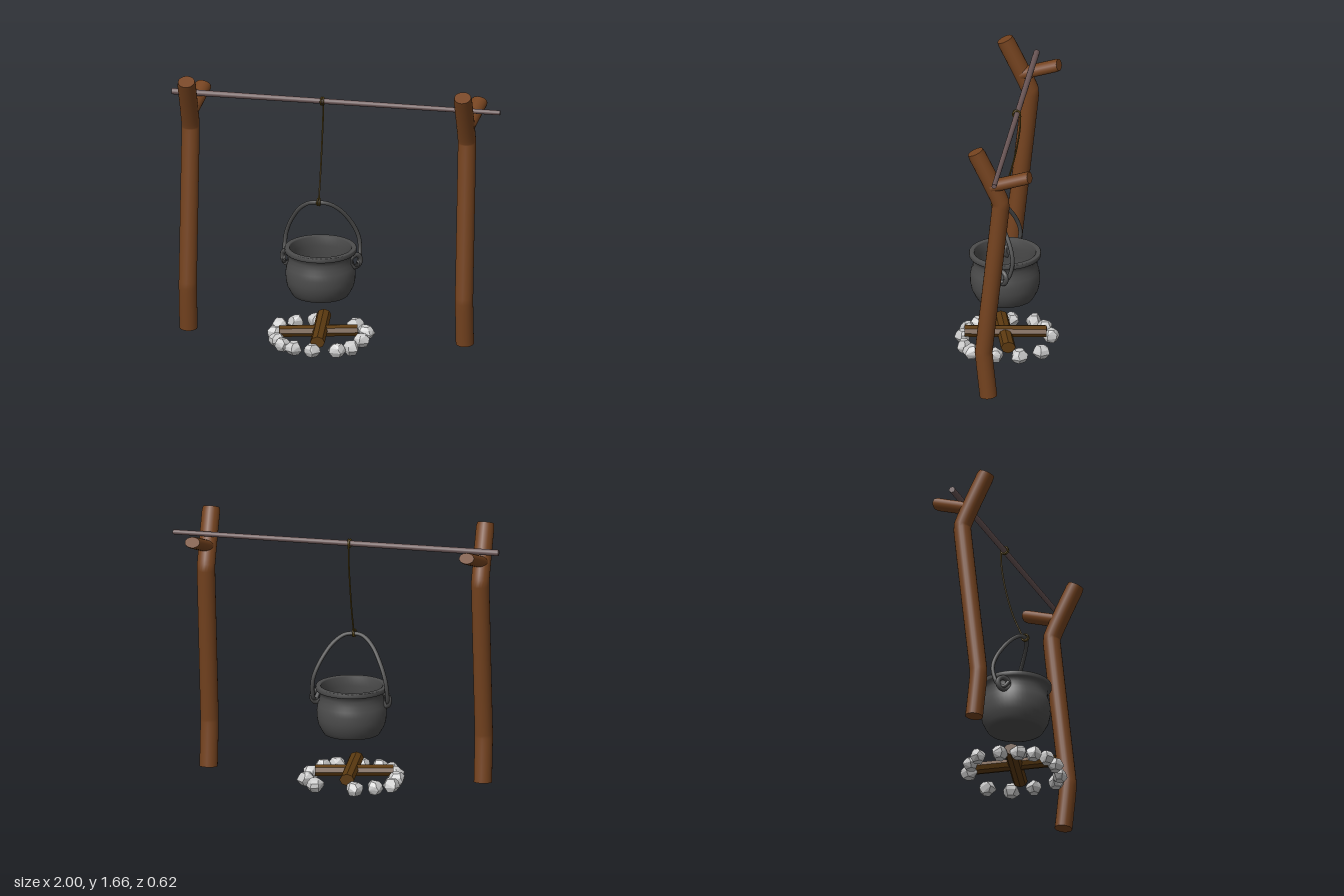
import * as THREE from 'three';
import { ConvexGeometry } from 'three/addons/geometries/ConvexGeometry.js';

const V = (x, y, z) => new THREE.Vector3(x, y, z);
const mat = (color, flatShading = false) => new THREE.MeshStandardMaterial({ color, flatShading });

const BARK = mat(0x75431f);
const BAR = mat(0x6b5757);
const IRON = mat(0x4c4c4c);
const ROPE = mat(0x5f4a15);
const LOG = mat(0x5c3a10, true);
const STONE = mat(0xcccccc, true);
const POT_X = -0.082;

function add(parent, name, geometry, material) {
  const mesh = new THREE.Mesh(geometry, material);
  mesh.name = name;
  parent.add(mesh);
  return mesh;
}

// Capped cylinder laid along a curve; rx is measured along ref, rz across it
function limb(curve, ref, rx, rz, radial = 20, rows = 44, scale = () => 1) {
  const g = new THREE.CylinderGeometry(1, 1, 1, radial, rows);
  const p = g.attributes.position, n = g.attributes.normal;
  for (let i = 0; i < p.count; i++) {
    const t = p.getY(i) + 0.5, s = scale(t);
    const T = curve.getTangentAt(t);
    const N = ref.clone().addScaledVector(T, -ref.dot(T)).normalize();
    const B = N.clone().cross(T);
    const c = curve.getPointAt(t);
    c.addScaledVector(N, p.getX(i) * rx * s).addScaledVector(B, p.getZ(i) * rz * s);
    const m = V(0, 0, 0).addScaledVector(N, n.getX(i)).addScaledVector(T, n.getY(i))
      .addScaledVector(B, n.getZ(i)).normalize();
    p.setXYZ(i, c.x, c.y, c.z);
    n.setXYZ(i, m.x, m.y, m.z);
  }
  return g;
}

const spline = (pts, tension = 0.5) => new THREE.CatmullRomCurve3(pts, false, 'catmullrom', tension);
const tube = (pts, r, seg = 48) => new THREE.TubeGeometry(spline(pts), seg, r, 10);

// Bent trunk with a short side branch forming the fork
function forkedPost(x, name) {
  const post = new THREE.Group();
  post.name = name;
  const trunk = spline([V(0, 0.05, 0.015), V(0, 0.34, 0.043), V(0, 1.31, -0.06), V(0, 1.64, 0.094)], 0.06);
  add(post, 'trunk', limb(trunk, V(1, 0, 0), 0.055, 0.053, 20, 60, t => (t > 0.99 ? 0.92 : 1)), BARK);
  const branch = new THREE.LineCurve3(V(0.005, 1.425, -0.01), V(0.047, 1.508, -0.237));
  add(post, 'branch', limb(branch, V(1, 0, 0), 0.053, 0.036, 20, 16, t => (t > 0.97 ? 0.9 : 1)), BARK);
  post.position.x = x;
  return post;
}

function cookingPot() {
  const pot = new THREE.Group();
  pot.name = 'cookingPot';
  const profile = [
    [0, 0.308], [0.155, 0.308], [0.168, 0.312], [0.182, 0.335], [0.2, 0.37], [0.208, 0.41], [0.21, 0.455],
    [0.204, 0.49], [0.194, 0.52], [0.192, 0.55], [0.196, 0.575], [0.212, 0.58], [0.216, 0.587], [0.216, 0.605],
    [0.212, 0.61], [0.19, 0.61], [0.184, 0.605], [0.178, 0.55], [0.188, 0.49], [0.192, 0.42], [0.182, 0.37],
    [0.155, 0.33], [0.13, 0.325], [0, 0.325],
  ].map(([r, y]) => new THREE.Vector2(r, y));
  add(pot, 'potBody', new THREE.LatheGeometry(profile, 48), IRON);

  // Ears on both sides
  for (const s of [-1, 1]) {
    const ear = add(pot, 'potEar', new THREE.TorusGeometry(0.038, 0.015, 10, 24), IRON);
    ear.position.set(s * 0.21, 0.53, -0.005);
    ear.rotation.y = Math.PI / 4 * s;
  }

  // Tilted bail with hooked ends through the ears
  const half = [
    [0.213, 0.535, 0.03], [0.222, 0.505, 0.0], [0.228, 0.53, -0.04], [0.228, 0.6, -0.065], [0.218, 0.67, -0.066],
    [0.185, 0.755, -0.04], [0.13, 0.845, 0.008], [0.065, 0.9, 0.047],
  ];
  const bail = [
    ...half.map(([x, y, z]) => V(-x, y, z)), V(0, 0.912, 0.06),
    ...half.slice().reverse().map(([x, y, z]) => V(x, y, z)),
  ];
  add(pot, 'bail', tube(bail, 0.0125, 110), IRON);
  pot.position.set(POT_X, 0, 0.008);
  return pot;
}

// Rope with a loop on the bar and a loop on the bail
function hangingRope() {
  const rope = new THREE.Group();
  rope.name = 'hangingRope';
  const path = [V(POT_X, 1.5, -0.085), V(POT_X, 1.4, -0.08), V(POT_X - 0.002, 1.25, -0.055),
    V(POT_X - 0.003, 1.08, -0.01), V(POT_X - 0.003, 0.93, 0.05)];
  add(rope, 'ropeLine', tube(path, 0.005), ROPE);
  for (const [y, z, r] of [[1.51, -0.062, 0.022], [0.915, 0.068, 0.02]]) {
    for (const d of [-1, 1]) {
      const loop = add(rope, 'ropeLoop', new THREE.TorusGeometry(r, 0.0055, 8, 24), ROPE);
      loop.position.set(POT_X + d * 0.005, y, z);
      loop.rotation.y = Math.PI / 2 + d * 0.15;
    }
  }
  return rope;
}

// Small seeded generator for stone shapes
function seeded(seed) {
  return () => (seed = (seed * 16807) % 2147483647) / 2147483647;
}

function stone(rand) {
  const pts = [];
  const rings = [[0.003, 0.033], [0.035, 0.053], [0.062, 0.048], [0.084, 0.028]];
  const turn = rand() * 6;
  const squash = 0.82 + rand() * 0.2;
  for (const [y, r] of rings) {
    for (let k = 0; k < 5; k++) {
      const a = turn + (k + rand() * 0.35) * Math.PI * 0.4;
      const q = r * (0.88 + rand() * 0.24);
      pts.push(V(Math.cos(a) * q, y * (0.88 + rand() * 0.12), Math.sin(a) * q * squash));
    }
  }
  return new ConvexGeometry(pts);
}

function campfire() {
  const fire = new THREE.Group();
  fire.name = 'campfire';
  // Crossed logs
  const logs = [
    [V(-0.325, 0.075, 0.06), V(0.135, 0.075, -0.035)],
    [V(-0.104, 0.087, -0.24), V(-0.06, 0.087, 0.25)],
  ];
  for (const [a, b] of logs) {
    add(fire, 'log', limb(new THREE.LineCurve3(a, b), V(0, 1, 0), 0.036, 0.044, 8, 1), LOG);
  }
  // Ring of stones
  const rand = seeded(4711);
  const spots = [
    [-0.27, -0.21], [-0.155, -0.262], [0.09, -0.23], [0.172, -0.105], [0.175, 0.04], [0.135, 0.19], [0.055, 0.24],
    [-0.09, 0.262], [-0.205, 0.245], [-0.285, 0.19], [-0.33, 0.11], [-0.358, 0], [-0.355, -0.135],
  ];
  for (const [x, z] of spots) {
    add(fire, 'stone', stone(rand), STONE).position.set(x, 0, z);
  }
  return fire;
}

export function createModel() {
  const model = new THREE.Group();
  model.name = 'campfireWithPot';
  model.add(forkedPost(-0.882, 'rightPost'), forkedPost(0.795, 'leftPost'));
  const bar = new THREE.LineCurve3(V(-1, 1.51, -0.085), V(1, 1.51, -0.04));
  add(model, 'crossbar', limb(bar, V(0, 1, 0), 0.017, 0.017, 14, 1, t => 1.1 - 0.25 * t), BAR);
  model.add(hangingRope(), cookingPot(), campfire());
  return model;
}
